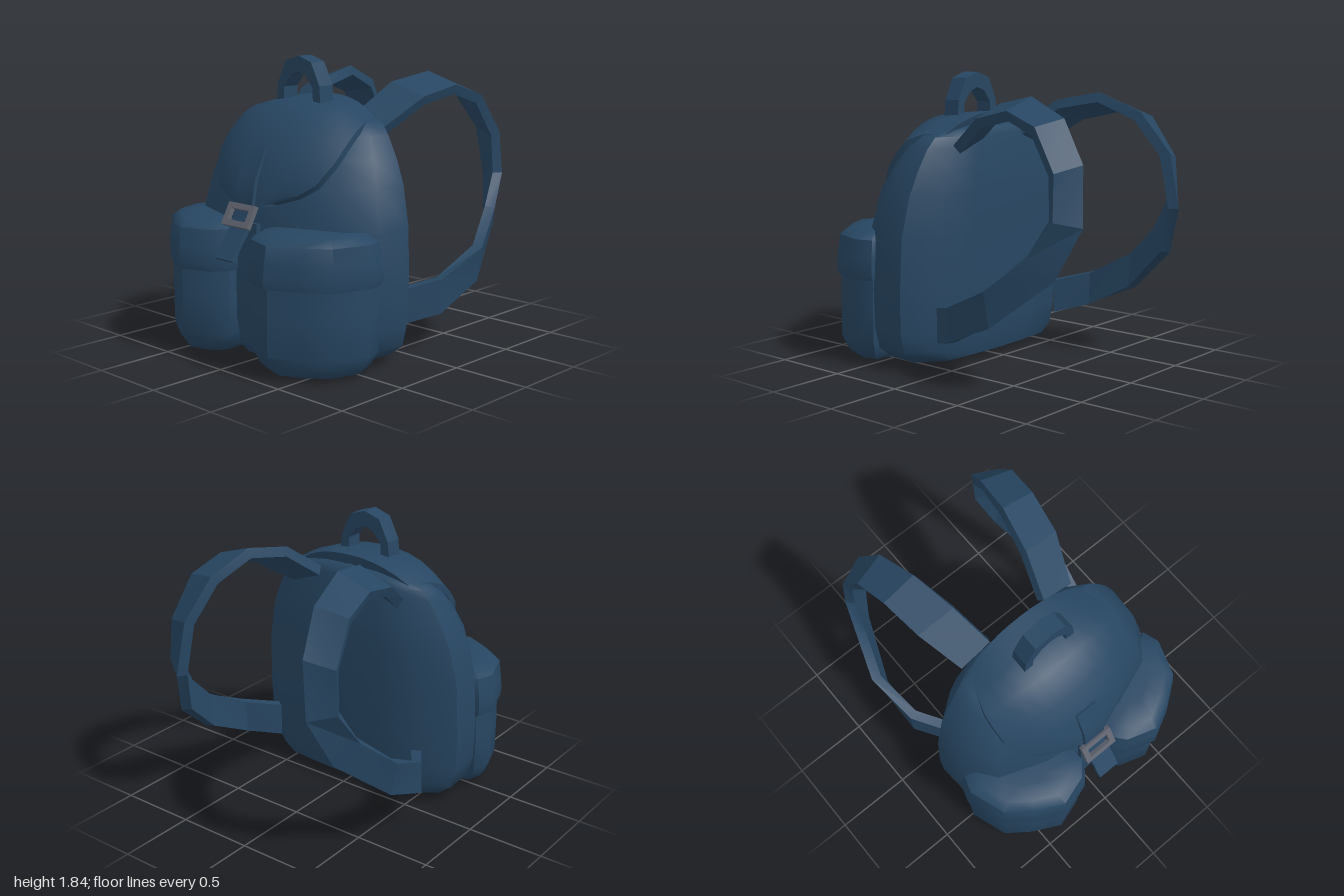
import * as THREE from 'three';
import { toCreasedNormals } from 'three/addons/utils/BufferGeometryUtils.js';

const fabric = new THREE.MeshStandardMaterial({ color: 0x274662 });
fabric.name = 'navy fabric';
const metal = new THREE.MeshStandardMaterial({ color: 0x60646f });
metal.name = 'grey metal';

// Closed solid through equal-sized rings of Vector3, capped at both ends
function loft(rings, crease) {
  const n = rings[0].length, pts = rings.flat(), idx = [];
  for (let r = 0; r < rings.length - 1; r++) {
    for (let i = 0; i < n; i++) {
      const a = r * n + i, b = r * n + (i + 1) % n;
      idx.push(a, b, b + n, a, b + n, a + n);
    }
  }
  for (const r of [0, rings.length - 1]) {
    const c = new THREE.Vector3();
    rings[r].forEach(p => c.addScaledVector(p, 1 / n));
    const ci = pts.push(c) - 1;
    for (let i = 0; i < n; i++) {
      const a = r * n + i, b = r * n + (i + 1) % n;
      idx.push(...(r === 0 ? [ci, b, a] : [ci, a, b]));
    }
  }
  // Turn the faces outward if the enclosed volume comes out negative
  let volume = 0;
  const v = new THREE.Vector3();
  for (let i = 0; i < idx.length; i += 3) {
    volume += pts[idx[i]].dot(v.crossVectors(pts[idx[i + 1]], pts[idx[i + 2]]));
  }
  if (volume < 0) idx.reverse();
  const g = new THREE.BufferGeometry().setFromPoints(pts);
  g.setIndex(idx);
  return toCreasedNormals(g, crease);
}

// Flat webbing: each station holds the two edges of its outer face
function band(stations, thickness, crease) {
  const mids = stations.map(([a, b]) => a.clone().add(b).multiplyScalar(0.5));
  const rings = stations.map(([a, b], i) => {
    const t = mids[Math.min(i + 1, mids.length - 1)].clone().sub(mids[Math.max(i - 1, 0)]);
    const inward = t.cross(b.clone().sub(a)).normalize().multiplyScalar(thickness);
    return [a, b, b.clone().add(inward), a.clone().add(inward)];
  });
  return loft(rings, crease);
}

const V = (x, y, z) => new THREE.Vector3(x, y, z);

export function createModel() {
  const group = new THREE.Group();
  const add = (name, geometry, material = fabric) => {
    const mesh = new THREE.Mesh(geometry, material);
    mesh.name = name;
    group.add(mesh);
    return mesh;
  };

  // Main bag: half outline (x share, depth share) lofted over heights
  const half = [[0, 0], [0.39, 0.01], [0.74, 0.04], [1, 0.24], [0.98, 0.55], [0.8, 0.8], [0.4, 0.95], [0, 1]];
  const outline = [...half, ...half.slice(1, -1).reverse().map(([x, z]) => [-x, z])];
  const levels = [ // y, half width, back z, front z
    [0, 0.5, 0.24, 0.62], [0.05, 0.64, 0.03, 0.7], [0.12, 0.73, 0.01, 0.74], [0.25, 0.76, 0, 0.77],
    [0.5, 0.77, -0.01, 0.77], [0.85, 0.755, -0.01, 0.74], [1.1, 0.7, -0.01, 0.68], [1.25, 0.635, 0, 0.6],
    [1.38, 0.56, 0.02, 0.5], [1.45, 0.5, 0.03, 0.42], [1.49, 0.38, 0.04, 0.36], [1.52, 0.25, 0.08, 0.3],
  ];
  add('bag', loft(levels.map(([y, w, b, f]) =>
    outline.map(([x, t]) => V(x * w, y, b + t * (f - b)))), 0.9));

  // Top flap: arched rows running from the back edge to the front tip
  const rows = [ // centre z, centre y, edge x, edge z, edge y
    [0.06, 1.59, 0.42, 0.1, 1.47], [0.25, 1.58, 0.48, 0.25, 1.46], [0.43, 1.56, 0.51, 0.36, 1.42],
    [0.58, 1.42, 0.51, 0.45, 1.34], [0.69, 1.27, 0.5, 0.53, 1.25], [0.74, 1.13, 0.44, 0.63, 1.12],
    [0.765, 1.04, 0.34, 0.69, 1.05], [0.78, 0.97, 0.2, 0.74, 1.0],
  ];
  const core = V(0, 0.8, 0.2);
  add('topFlap', loft(rows.map(([cz, cy, ex, ez, ey]) => {
    const outer = [];
    for (let i = -5; i <= 5; i++) {
      const k = Math.abs(i / 5) ** 2.4;
      outer.push(V(ex * i / 5, cy + (ey - cy) * k, cz + (ez - cz) * k));
    }
    const inner = outer.map(p => {
      const d = core.clone().sub(p).setX(0).setLength(0.04);
      return p.clone().add(d);
    });
    return [...outer, ...inner.reverse()];
  }), 0.75));

  // Closing strap over the flap, with a loose tail, and the strip below it
  const flat = path => path.map(([z, y]) => [V(0.075, y, z), V(-0.075, y, z)]);
  add('closingStrap', band(flat([[0.69, 1.3], [0.77, 1.13], [0.795, 1.0], [0.79, 0.95], [0.815, 0.88],
    [0.855, 0.82], [0.965, 0.67]]), 0.025, 0.4));
  add('frontStrip', band(flat([[0.76, 0.86], [0.79, 0.5], [0.79, 0.25], [0.765, 0.1], [0.705, 0.03]]), 0.03, 0.5));

  // Buckle frame
  const rect = (Type, w, h) => new Type([[-w, -h], [w, -h], [w, h], [-w, h]].map(p => new THREE.Vector2(...p)));
  const frame = rect(THREE.Shape, 0.115, 0.072);
  frame.holes.push(rect(THREE.Path, 0.077, 0.036));
  const buckle = add('buckle', new THREE.ExtrudeGeometry(frame, { depth: 0.03, bevelEnabled: false }), metal);
  buckle.position.set(0, 0.905, 0.815);
  buckle.rotation.x = -0.5;

  // Carry handle
  const arch = [[0.19, 1.54], [0.18, 1.66], [0.11, 1.8], [0, 1.835], [-0.11, 1.8], [-0.18, 1.66], [-0.19, 1.54],
    [-0.125, 1.54], [-0.125, 1.64], [-0.065, 1.715], [0, 1.738], [0.065, 1.715], [0.125, 1.64], [0.125, 1.54]];
  const handle = new THREE.ExtrudeGeometry(new THREE.Shape(arch.map(p => new THREE.Vector2(...p))),
    { depth: 0.115, bevelEnabled: false });
  add('carryHandle', handle.translate(0, 0, 0.22));

  // Pockets and shoulder straps, mirrored
  const pocketOutline = [[0.13, 0.6], [0.115, 0.82], [0.19, 0.91], [0.38, 0.97], [0.56, 0.88], [0.71, 0.77],
    [0.79, 0.54], [0.755, 0.43], [0.5, 0.4]];
  const strapEdges = [ // first edge xyz, second edge xyz
    [0.21, 1.48, 0.04, 0.43, 1.4, 0.04], [0.28, 1.66, -0.21, 0.53, 1.58, -0.23],
    [0.34, 1.715, -0.5, 0.57, 1.64, -0.5], [0.39, 1.6, -0.78, 0.6, 1.56, -0.73],
    [0.45, 1.35, -0.96, 0.63, 1.31, -0.89], [0.5, 1.0, -1.0, 0.65, 1.04, -0.9],
    [0.6, 0.7, -0.88, 0.7, 0.83, -0.76], [0.75, 0.4, -0.52, 0.79, 0.62, -0.51],
    [0.74, 0.25, -0.17, 0.74, 0.47, -0.18], [0.59, 0.19, 0.04, 0.59, 0.41, 0.04],
  ];
  for (const [side, s] of [['left', 1], ['right', -1]]) {
    const pocket = steps => loft(steps.map(([y, k]) => pocketOutline.map(([x, z]) =>
      V(s * (0.45 + (x - 0.45) * k), y, 0.64 + (z - 0.64) * k))), 0.75);
    add(side + 'Pocket', pocket([[0.01, 0.55], [0.03, 0.77], [0.07, 0.88], [0.15, 1], [0.4, 1], [0.62, 0.98]]));
    add(side + 'PocketLid', pocket([[0.555, 0.98], [0.556, 1.05], [0.6, 1.08], [0.7, 1.05], [0.81, 1], [0.855, 0.8], [0.862, 0.4]]));

    const strap = band(strapEdges.map(e => [V(...e.slice(0, 3)), V(...e.slice(3))]), 0.065, 0.35);
    if (s < 0) {
      // Mirror across x and restore the outward winding
      strap.scale(-1, 1, 1);
      for (const attr of Object.values(strap.attributes)) {
        for (let i = 0; i < attr.count; i += 3) {
          const a = [attr.getX(i), attr.getY(i), attr.getZ(i)];
          attr.setXYZ(i, attr.getX(i + 1), attr.getY(i + 1), attr.getZ(i + 1));
          attr.setXYZ(i + 1, ...a);
        }
      }
    }
    add(side + 'ShoulderStrap', strap);
  }
  return group;
}
